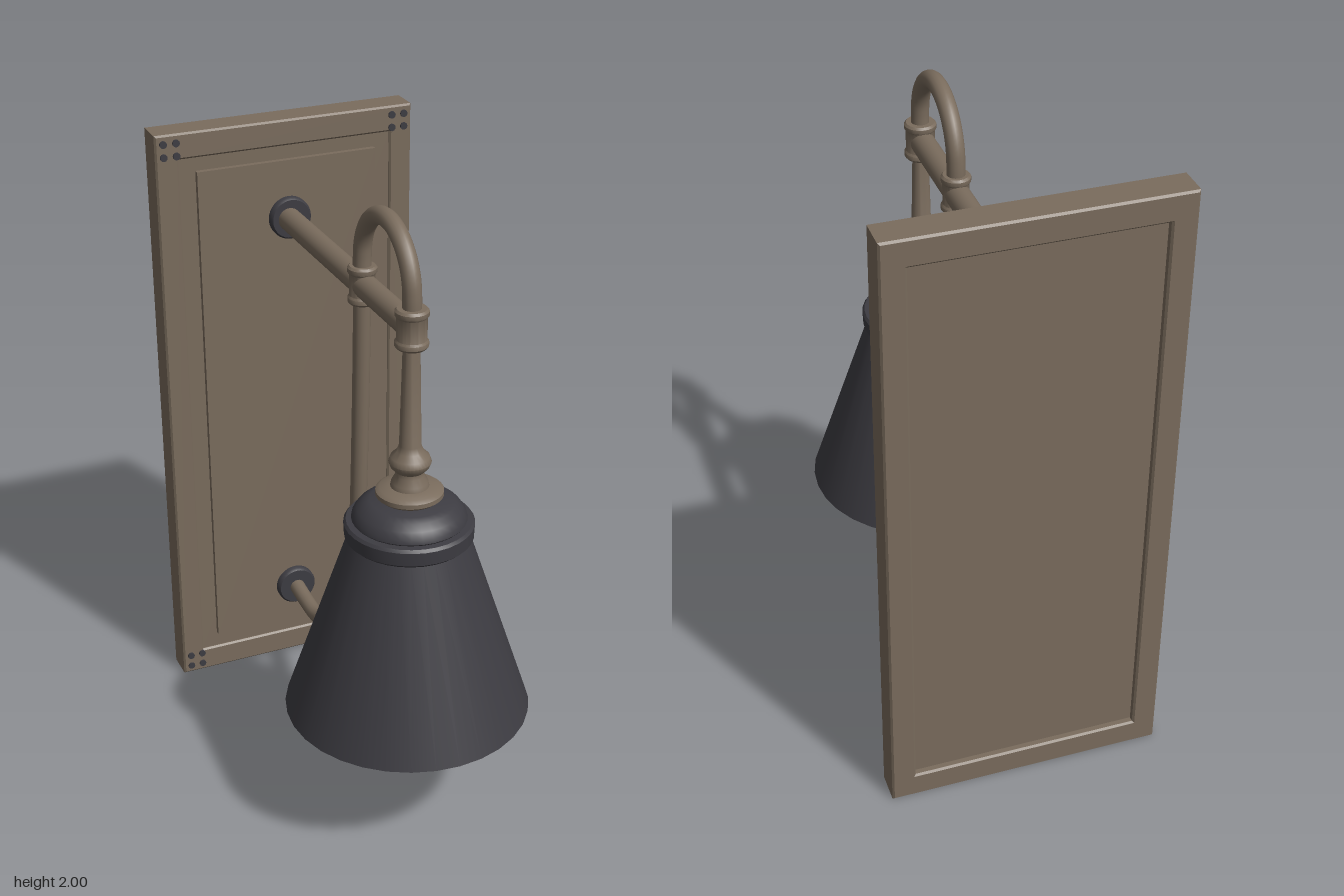
import * as THREE from 'three';
import { toCreasedNormals } from 'three/addons/utils/BufferGeometryUtils.js';

const bronze = new THREE.MeshStandardMaterial({ color: 0x7a6c5d });
bronze.name = 'bronze';
const charcoal = new THREE.MeshStandardMaterial({ color: 0x3d3c42, side: THREE.DoubleSide });
charcoal.name = 'charcoal';
const glass = new THREE.MeshStandardMaterial({ color: 0xe6e6e4 });
glass.name = 'bulbGlass';

const AXIS_X = -0.007; // arm and lamp centre line
const LAMP_Z = 0.346;
const POST_Z = -0.005;
const ARM_Y = 1.68;

export function createModel() {
  const model = new THREE.Group();
  model.name = 'wallLamp';

  const add = (name, geometry, material, x = 0, y = 0, z = 0) => {
    const mesh = new THREE.Mesh(geometry, material);
    mesh.name = name;
    mesh.position.set(x, y, z);
    model.add(mesh);
    return mesh;
  };
  // Profile points are [radius, height], listed from bottom to top
  const lathe = (profile, segments = 32) => toCreasedNormals(
    new THREE.LatheGeometry(profile.map(([r, y]) => new THREE.Vector2(r, y)), segments), 0.7);
  const rect = (target, w, y0, y1) => {
    target.moveTo(-w, y0);
    target.lineTo(w, y0);
    target.lineTo(w, y1);
    target.lineTo(-w, y1);
    target.closePath();
    return target;
  };
  // Box given by half width and its y and z ranges
  const slab = (name, w, y0, y1, z0, z1) => add(name,
    new THREE.BoxGeometry(2 * w, y1 - y0, z1 - z0), bronze, 0, (y0 + y1) / 2, (z0 + z1) / 2);

  // Wall plate: frame, recessed floor and raised centre panel
  const frame = rect(new THREE.Shape(), 0.436, 0, 2);
  frame.holes.push(rect(new THREE.Path(), 0.36, 0.085, 1.915));
  add('plateFrame', new THREE.ExtrudeGeometry(frame, {
    depth: 0.093, bevelEnabled: true, bevelThickness: 0.006,
    bevelSize: 0.006, bevelOffset: -0.006, bevelSegments: 1,
  }), bronze, 0, 0, -0.728);
  slab('plateFloor', 0.363, 0.08, 1.92, -0.712, -0.638);
  slab('centrePanel', 0.305, 0.14, 1.87, -0.64, -0.62);

  // Clusters of four studs on the corners of the frame
  const stud = new THREE.CylinderGeometry(0.012, 0.012, 0.008, 12).rotateX(Math.PI / 2);
  for (const sx of [-1, 1]) for (const cy of [0.05, 1.95])
    for (const dx of [-1, 1]) for (const dy of [-1, 1])
      add('cornerStud', stud, charcoal, sx * 0.388 + dx * 0.021, cy + dy * 0.021, -0.627);

  // Round wall mounts
  const mount = lathe([[0, 0], [0.07, 0], [0.07, 0.018], [0.064, 0.026], [0, 0.026]]).rotateX(Math.PI / 2);
  add('upperMount', mount, charcoal, 0, ARM_Y, -0.621);
  add('lowerMount', mount, charcoal, AXIS_X, 0.285, -0.621);

  // Straight arm
  add('arm', new THREE.CylinderGeometry(0.038, 0.038, 0.945, 24).rotateX(Math.PI / 2),
    bronze, AXIS_X, ARM_Y, (LAMP_Z - 0.6) / 2);

  // Sleeves where the pipes cross the arm
  for (const [name, z, r] of [['lampSleeve', LAMP_Z, 0.05], ['postSleeve', POST_Z, 0.045]])
    add(name, lathe([[0, -0.06], [r - 0.006, -0.06], [r, -0.053], [r, -0.04], [r - 0.005, -0.034],
      [r - 0.005, 0.034], [r, 0.04], [r, 0.053], [r - 0.006, 0.06], [0, 0.06]], 24),
    bronze, AXIS_X, ARM_Y, z);

  // Gooseneck loop above the arm
  const mid = (LAMP_Z + POST_Z) / 2;
  const radius = (LAMP_Z - POST_Z) / 2;
  const loop = [new THREE.Vector3(0, 1.7, LAMP_Z)];
  for (let i = 0; i <= 12; i++) {
    const a = Math.PI * i / 12;
    loop.push(new THREE.Vector3(0, 1.77 + radius * Math.sin(a), mid + radius * Math.cos(a)));
  }
  loop.push(new THREE.Vector3(0, 1.7, POST_Z));
  add('gooseneck', new THREE.TubeGeometry(new THREE.CatmullRomCurve3(loop), 48, 0.028, 16), bronze, AXIS_X);

  // Sweeping lower brace back to the wall
  const brace = [[1.7, POST_Z], [1.45, -0.012], [1.0, -0.033], [0.77, -0.052], [0.58, -0.084],
    [0.44, -0.15], [0.33, -0.265], [0.272, -0.4], [0.272, -0.5], [0.285, -0.61]]
    .map(([y, z]) => new THREE.Vector3(0, y, z));
  add('brace', new THREE.TubeGeometry(new THREE.CatmullRomCurve3(brace), 64, 0.027, 16), bronze, AXIS_X);

  // Turned stem with knob and collar
  add('stem', lathe([[0, 1.125], [0.07, 1.128], [0.09, 1.138], [0.102, 1.148], [0.102, 1.162],
    [0.09, 1.171], [0.058, 1.176], [0.055, 1.19], [0.043, 1.212], [0.043, 1.225], [0.058, 1.24],
    [0.064, 1.256], [0.058, 1.273], [0.04, 1.29], [0.033, 1.31], [0.025, 1.64], [0, 1.64]]),
  bronze, AXIS_X, 0, LAMP_Z);

  // Shade: open cone, rolled ring and domed cap
  add('shade', lathe([[0.382, 0.41], [0.182, 1.01]]), charcoal, AXIS_X, 0, LAMP_Z);
  add('shadeRing', lathe([[0.17, 1.0], [0.184, 1.002], [0.195, 1.012], [0.197, 1.055],
    [0.19, 1.064], [0.165, 1.065]]), charcoal, AXIS_X, 0, LAMP_Z);
  add('shadeCap', lathe([[0.165, 1.06], [0.174, 1.07], [0.171, 1.083], [0.158, 1.103],
    [0.138, 1.12], [0.118, 1.13], [0, 1.13]]), charcoal, AXIS_X, 0, LAMP_Z);

  // Bulb with tapering neck inside the shade
  const bulb = [];
  for (let i = 0; i <= 12; i++) {
    const a = -Math.PI / 2 + Math.PI * 0.72 * i / 12;
    bulb.push([Math.max(0, 0.175 * Math.cos(a)), 0.62 + 0.175 * Math.sin(a)]);
  }
  bulb.push([0.09, 0.82], [0.07, 0.9], [0.07, 1.05]);
  add('bulb', lathe(bulb), glass, AXIS_X, 0, LAMP_Z);

  return model;
}
